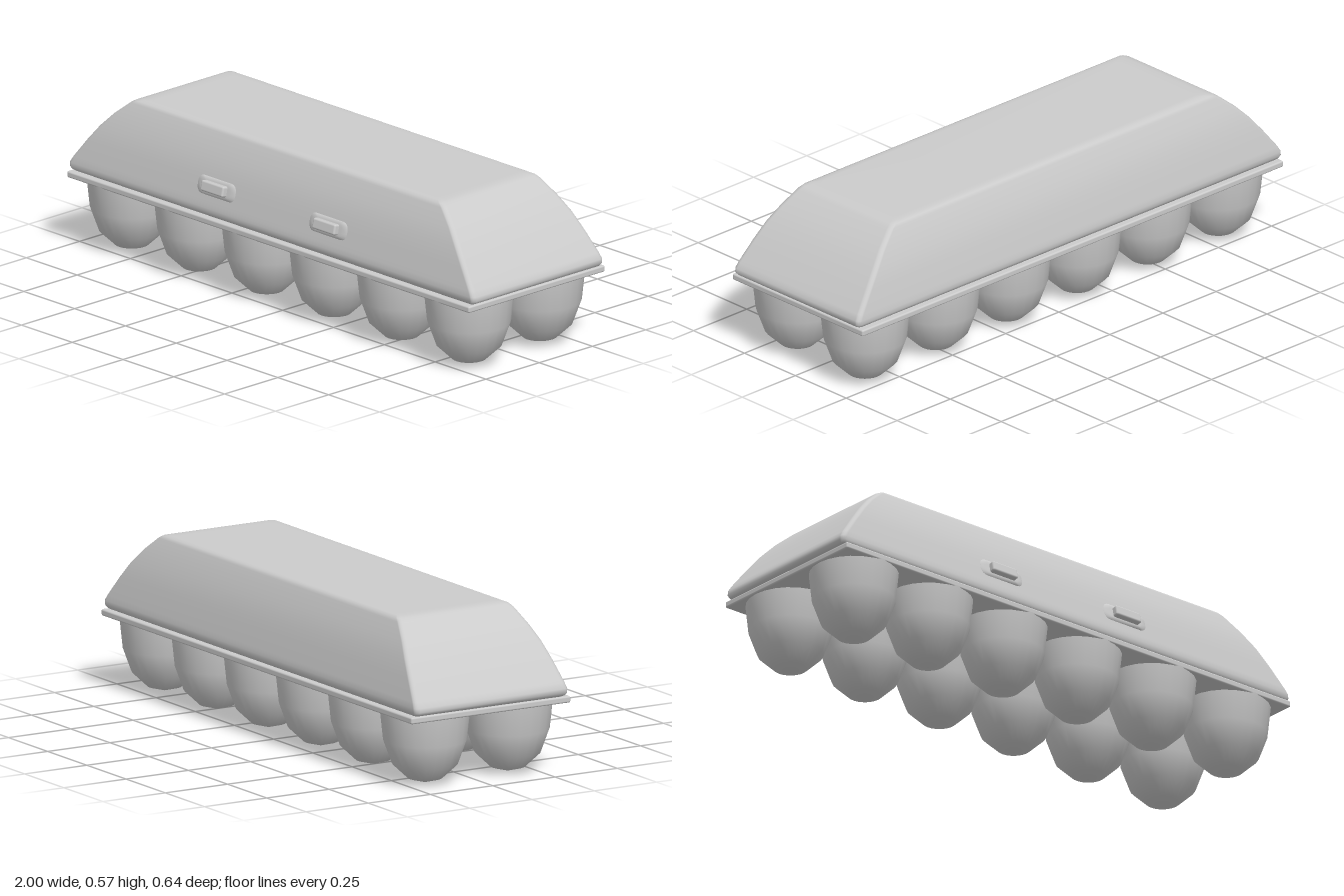
import * as THREE from 'three';
import { RoundedBoxGeometry } from 'three/addons/geometries/RoundedBoxGeometry.js';

const grey = new THREE.MeshStandardMaterial({ color: 0xcccccc });

function addMesh(parent, name, geometry, x = 0, y = 0, z = 0) {
  const mesh = new THREE.Mesh(geometry, grey);
  mesh.name = name;
  mesh.position.set(x, y, z);
  parent.add(mesh);
  return mesh;
}

// Closed loft through rounded rectangles; each section is [halfX, halfZ, y, cornerRadius]
function loftRectangles(sections, cornerSteps = 4) {
  const points = [];
  const index = [];
  const n = 4 * (cornerSteps + 1);
  for (const [hx, hz, y, r] of sections) {
    for (let q = 0; q < 4; q++) {
      const cx = (q === 0 || q === 3 ? 1 : -1) * (hx - r);
      const cz = (q < 2 ? 1 : -1) * (hz - r);
      for (let s = 0; s <= cornerSteps; s++) {
        const a = (q + s / cornerSteps) * Math.PI / 2;
        points.push(cx + r * Math.cos(a), y, cz + r * Math.sin(a));
      }
    }
  }
  const last = sections.length - 1;
  const bottom = sections.length * n;
  const top = bottom + 1;
  points.push(0, sections[0][2], 0, 0, sections[last][2], 0);
  for (let j = 0; j < n; j++) {
    const k = (j + 1) % n;
    for (let i = 0; i < last; i++) {
      const a = i * n + j, b = i * n + k;
      index.push(a, a + n, b, b, a + n, b + n);
    }
    index.push(bottom, j, k, top, last * n + k, last * n + j);
  }
  const geometry = new THREE.BufferGeometry();
  geometry.setAttribute('position', new THREE.Float32BufferAttribute(points, 3));
  geometry.setIndex(index);
  geometry.computeVertexNormals();
  return geometry;
}

export function createModel() {
  const carton = new THREE.Group();
  carton.name = 'eggCarton';

  // Domed lid with sloping, slightly bowed sides
  addMesh(carton, 'lid', loftRectangles([
    [0.975, 0.292, 0.27, 0.012],
    [0.99, 0.302, 0.277, 0.014],
    [0.998, 0.307, 0.287, 0.016],
    [0.997, 0.308, 0.302, 0.018],
    [0.985, 0.304, 0.322, 0.018],
    [0.932, 0.289, 0.392, 0.018],
    [0.885, 0.274, 0.45, 0.018],
    [0.835, 0.254, 0.502, 0.018],
    [0.775, 0.232, 0.552, 0.018],
    [0.757, 0.225, 0.562, 0.018],
    [0.735, 0.212, 0.567, 0.018],
    [0.7, 0.19, 0.568, 0.018],
  ]));

  // Flat rim between lid and cups
  addMesh(carton, 'rim', new RoundedBoxGeometry(1.98, 0.023, 0.64, 3, 0.006), 0, 0.2605, 0);

  // Two rows of six egg cups
  const profile = [[0, 0], [0.06, 0.017], [0.113, 0.067], [0.143, 0.15], [0.154, 0.255]]
    .map(([r, y]) => new THREE.Vector2(r, y));
  const cup = new THREE.LatheGeometry(profile, 24);
  for (const z of [0.167, -0.165]) {
    for (let i = 0; i < 6; i++) addMesh(carton, 'eggCup', cup, -0.83 + i * 0.332, 0, z);
  }

  // Front latches: a tab on a shallow pad that follows the slope of the lid
  for (const x of [-0.28, 0.27]) {
    const latch = new THREE.Group();
    latch.name = 'latch';
    latch.position.set(x, 0.378, 0.293);
    latch.rotation.x = -0.21;
    addMesh(latch, 'latchPad', loftRectangles([
      [0.092, 0.032, -0.006, 0.025],
      [0.092, 0.032, 0, 0.025],
      [0.066, 0.022, 0.005, 0.012],
    ])).rotation.x = Math.PI / 2;
    addMesh(latch, 'latchTab', new RoundedBoxGeometry(0.11, 0.038, 0.04, 3, 0.007), 0, 0, 0.005);
    carton.add(latch);
  }
  return carton;
}
